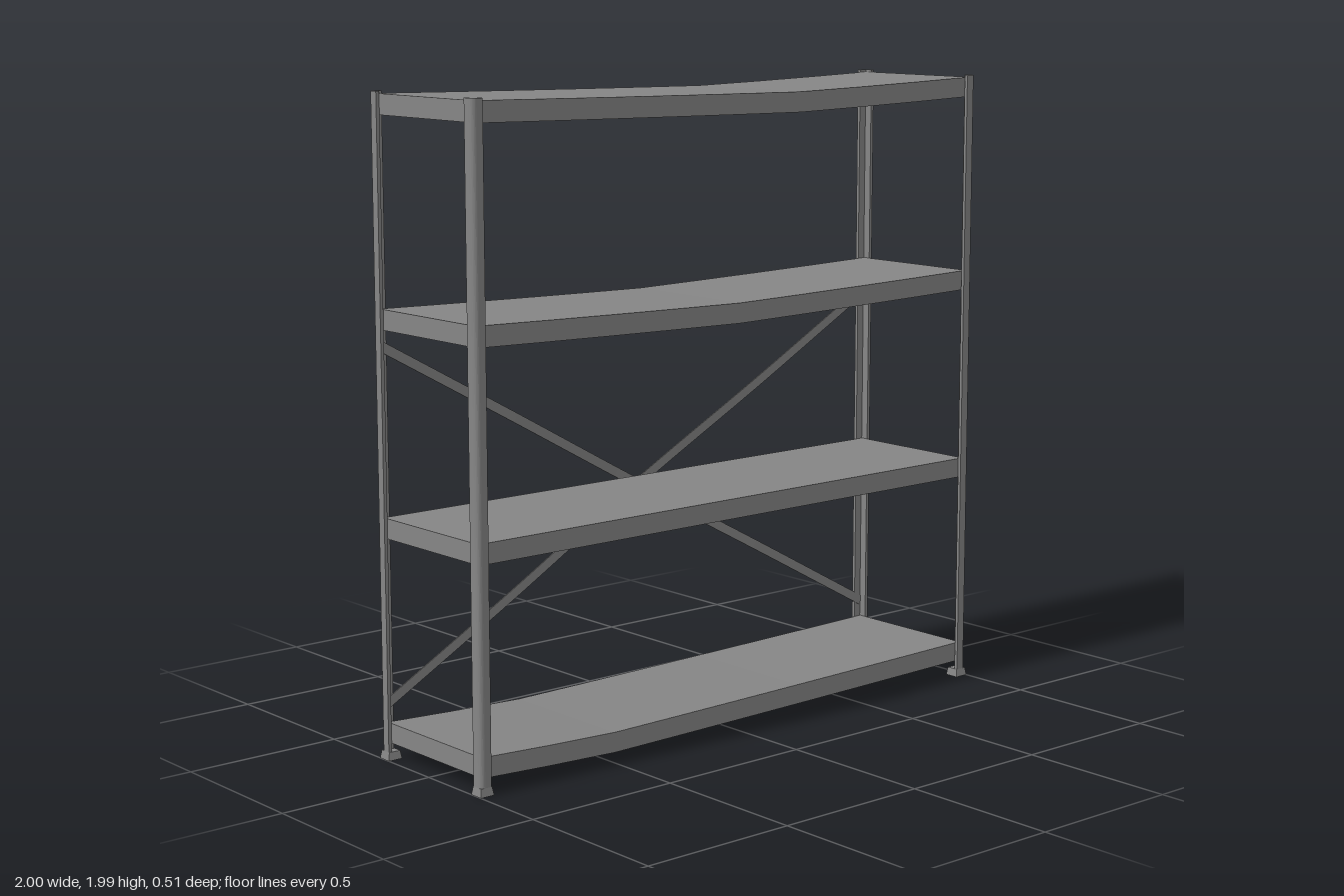
import * as THREE from 'three';

const material = new THREE.MeshStandardMaterial({ color: 0x858585, flatShading: true, side: THREE.DoubleSide });
const HALF_X = 0.983, HALF_Z = 0.235; // shelf half sizes
const RIM = 0.062, SHEET = 0.005;

function add(parent, name, geometry, x = 0, y = 0, z = 0) {
  const mesh = new THREE.Mesh(geometry, material);
  mesh.name = name;
  mesh.position.set(x, y, z);
  parent.add(mesh);
  return mesh;
}

const polygon = (points) => new THREE.Shape(points.map(([x, y]) => new THREE.Vector2(x, y)));

// Height offset of a sagging shelf: zero at both ends, lowest at the given x
function sagAt(x, { sag, low }) {
  const t = x < low ? (x + HALF_X) / (low + HALF_X) : (HALF_X - x) / (HALF_X - low);
  return -sag * (0.75 * t + 0.25 * t * (2 - t));
}

// Upright: angle section with a rounded outer corner, on a flared foot
function makePost(sx, sz) {
  const group = new THREE.Group();
  group.name = 'post';
  const ox = 0.996, oz = 0.25, w = 0.037, t = 0.011, r = 0.015;
  const p = (dx, dz) => [sx * (ox - dx), -sz * (oz - dz)];
  const corner = [];
  for (let i = 0; i <= 6; i++) {
    const a = (i / 6) * Math.PI / 2;
    corner.push(p(r - r * Math.sin(a), r - r * Math.cos(a)));
  }
  const section = polygon([...corner, p(0, w), p(t, w), p(t, t), p(w, t), p(w, 0)]);
  const upright = new THREE.ExtrudeGeometry(section, { depth: 1.975, bevelEnabled: false });
  upright.rotateX(-Math.PI / 2);
  add(group, 'upright', upright, 0, 0.01, 0);

  const foot = new THREE.CylinderGeometry(0.0195 * Math.SQRT2, 0.0235 * Math.SQRT2, 0.025, 4);
  foot.rotateY(Math.PI / 4);
  add(group, 'foot', foot, sx * 0.9765, 0.0125, sz * 0.2305);
  return group;
}

// Shelf: sheet tray with folded sides, closed ends and cross bars beneath
function makeShelf(spec) {
  const group = new THREE.Group();
  group.name = 'shelf';
  group.position.y = spec.top;
  const z = HALF_Z, i = z - SHEET;
  const section = polygon([
    [-z, 0], [z, 0], [z, -RIM], [i, -RIM], [i, -SHEET], [-i, -SHEET], [-i, -RIM], [-z, -RIM]
  ]);
  const tray = new THREE.ExtrudeGeometry(section, { depth: 2 * HALF_X, steps: 8, bevelEnabled: false });
  tray.rotateY(Math.PI / 2);
  tray.translate(-HALF_X, 0, 0);
  const pos = tray.attributes.position;
  for (let k = 0; k < pos.count; k++) pos.setY(k, pos.getY(k) + sagAt(pos.getX(k), spec));
  tray.computeVertexNormals();
  add(group, 'tray', tray);

  for (const s of [-1, 1]) {
    add(group, 'endPanel', new THREE.BoxGeometry(SHEET, RIM - 0.002, 2 * i), s * (HALF_X - SHEET / 2), -RIM / 2, 0);
  }
  if (spec.bars) for (const x of [-0.49, 0, 0.49]) {
    add(group, 'crossBar', new THREE.BoxGeometry(0.028, 0.045, 2 * i), x, sagAt(x, spec) - 0.0275, 0);
  }
  return group;
}

// Flat diagonal strap across the back, bowed outwards around the crossing
function makeBrace(slope, bow) {
  const angle = Math.atan2(1.06, 1.93);
  const strap = new THREE.BoxGeometry(1.97 / Math.cos(angle), 0.03, 0.004, 24, 1, 1);
  const pos = strap.attributes.position;
  for (let k = 0; k < pos.count; k++) {
    const x = pos.getX(k) * Math.cos(angle);
    const t = Math.min(1, Math.abs(x) / 0.6);
    pos.setZ(k, pos.getZ(k) - bow * Math.cos(t * Math.PI / 2) ** 2);
  }
  strap.computeVertexNormals();
  const brace = new THREE.Mesh(strap, material);
  brace.name = 'backBrace';
  brace.position.set(0, 0.706, -0.2372);
  brace.rotation.z = slope * angle;
  return brace;
}

export function createModel() {
  const model = new THREE.Group();
  model.name = 'shelvingUnit';
  const frame = new THREE.Group();
  frame.name = 'frame';
  frame.position.z = 0.003; // balances the braces bulging at the back
  model.add(frame);

  for (const sx of [-1, 1]) for (const sz of [-1, 1]) frame.add(makePost(sx, sz));

  const shelves = [
    { top: 1.978, sag: 0.02, low: 0.245, bars: true },
    { top: 1.355, sag: 0.021, low: 0, bars: true },
    { top: 0.735, sag: 0, low: 0, bars: true },
    { top: 0.112, sag: 0.021, low: -0.49, bars: false }
  ];
  for (const spec of shelves) frame.add(makeShelf(spec));

  frame.add(makeBrace(1, 0.015), makeBrace(-1, 0.02));
  return model;
}
